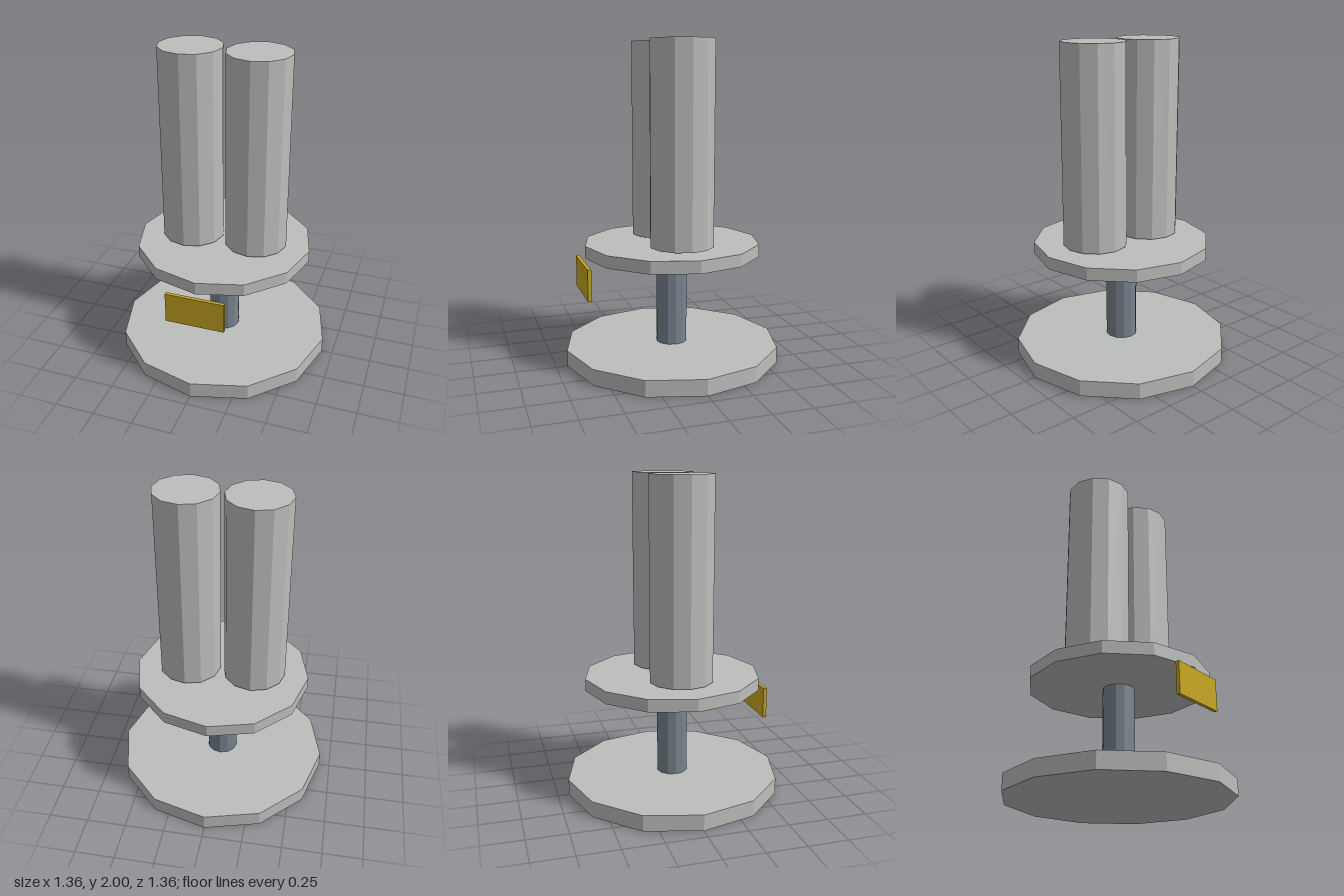
import * as THREE from 'three';

export function createModel() {
  const group = new THREE.Group();

  const material = (name, color) => {
    const m = new THREE.MeshStandardMaterial({ color });
    m.name = name;
    return m;
  };
  const grey = material('pale grey', 0xbcbebc);
  const steel = material('blue grey steel', 0x78848f);
  const gold = material('gold', 0xc9a822);

  const add = (name, geometry, mat, x, y, z) => {
    const mesh = new THREE.Mesh(geometry, mat);
    mesh.name = name;
    mesh.position.set(x, y, z);
    group.add(mesh);
  };

  // Twelve-sided faceted cylinder between two heights
  const column = (name, radius, bottom, top, mat, x = 0) => {
    const geometry = new THREE.CylinderGeometry(radius, radius, top - bottom, 12).toNonIndexed();
    geometry.computeVertexNormals();
    add(name, geometry, mat, x, (bottom + top) / 2, 0);
  };

  // Stand: base, post and upper platform
  column('base', 0.68, 0, 0.1, grey);
  column('post', 0.098, 0.1, 0.68, steel);
  column('platform', 0.555, 0.68, 0.757, grey);

  // Pair of tall cylinders, just clear of the platform
  column('leftCylinder', 0.197, 0.767, 2, grey, 0.208);
  column('rightCylinder', 0.197, 0.767, 2, grey, -0.208);

  // Name plate floating at the front
  add('plate', new THREE.BoxGeometry(0.37, 0.195, 0.022), gold, 0, 0.558, 0.567);

  return group;
}
